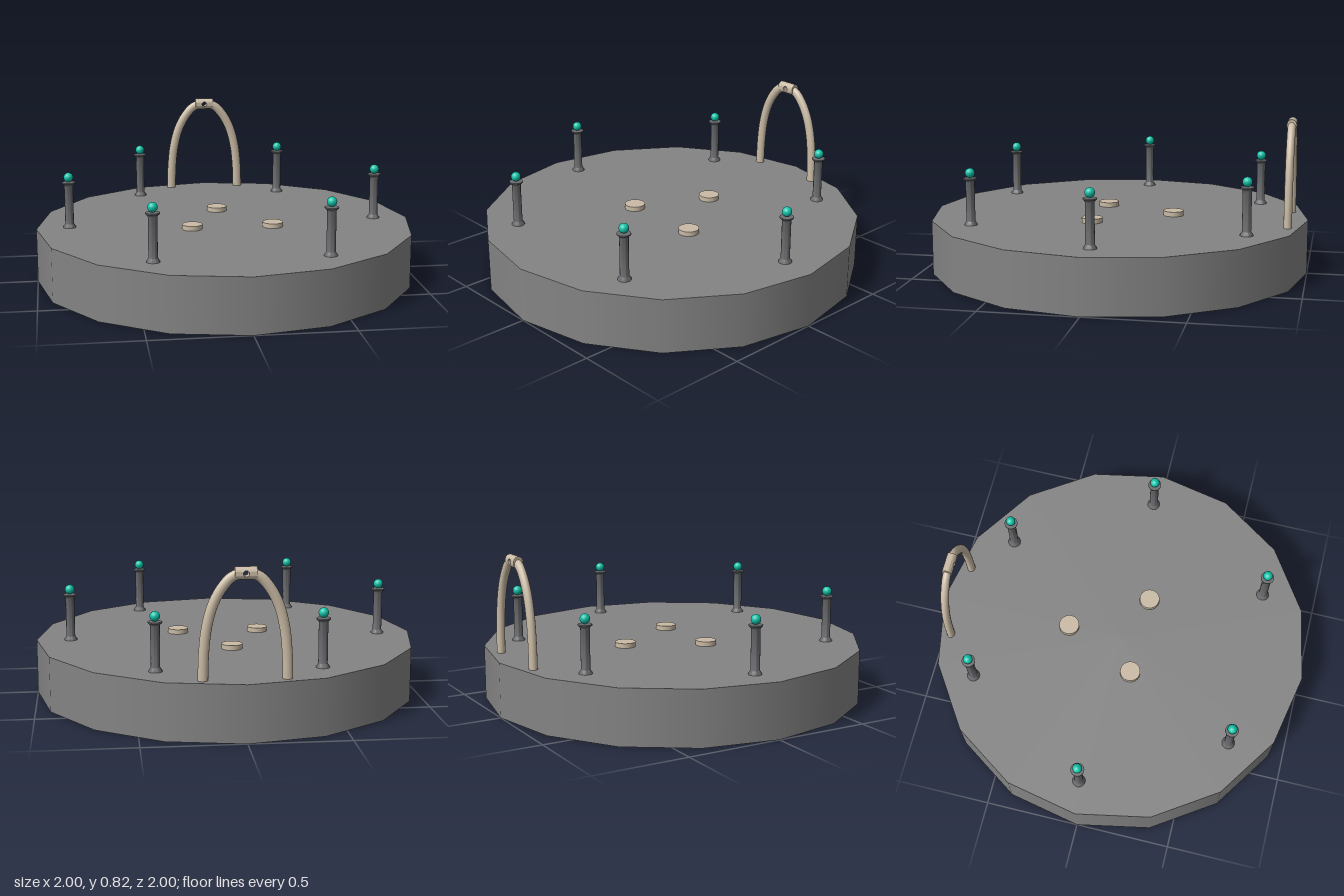
import * as THREE from 'three';
import { toCreasedNormals } from 'three/addons/utils/BufferGeometryUtils.js';

const TOP = 0.285; // top of the base

function material(color, extra = {}) {
  return new THREE.MeshStandardMaterial({ color, ...extra });
}

function part(name, geometry, mat, x = 0, y = 0, z = 0) {
  const mesh = new THREE.Mesh(geometry, mat);
  mesh.name = name;
  mesh.position.set(x, y, z);
  return mesh;
}

// Oval sleeve lying along x, pierced from front to back by a round hole
function piercedSleeve(halfLength, ry, rz, hole) {
  const nu = 48, half = 10, nv = half * 2;
  const positions = [], index = [];
  const corners = [[-1, -1], [1, -1], [1, 1], [-1, 1]];
  for (let v = 0; v < nv; v++) {
    const front = v < half;
    const t = (front ? v : nv - 1 - v) / (half - 1); // 0 outline, 1 hole
    for (let u = 0; u < nu; u++) {
      const side = Math.floor(u / 12), f = (u % 12) / 12;
      const a = corners[side], b = corners[(side + 1) % 4];
      const angle = (u / nu) * Math.PI * 2 - Math.PI * 0.75;
      const ox = (a[0] + (b[0] - a[0]) * f) * halfLength;
      const oy = (a[1] + (b[1] - a[1]) * f) * ry;
      const x = ox + (Math.cos(angle) * hole - ox) * t;
      const y = oy + (Math.sin(angle) * hole - oy) * t;
      const z = rz * Math.sqrt(Math.max(0, 1 - (y / ry) ** 2));
      positions.push(x, y, front ? z : -z);
      const p = v * nu + u, q = v * nu + (u + 1) % nu;
      const r = ((v + 1) % nv) * nu + u, s = ((v + 1) % nv) * nu + (u + 1) % nu;
      index.push(p, q, r, q, s, r);
    }
  }
  const g = new THREE.BufferGeometry();
  g.setAttribute('position', new THREE.Float32BufferAttribute(positions, 3));
  g.setIndex(index);
  return toCreasedNormals(g, 0.7);
}

export function createModel() {
  const model = new THREE.Group();
  model.name = 'platform';
  const grey = material(0x848484);
  const dark = material(0x6c6d70);
  const beige = material(0xcabba5);
  const tubeBeige = material(0xcabba5, { side: THREE.DoubleSide });
  const teal = material(0x10c4aa);

  // Sixteen-sided base
  model.add(part('base', new THREE.CylinderGeometry(1, 1, TOP, 16), grey, 0, TOP / 2, 0));

  // Low round pads
  const padGeo = new THREE.CylinderGeometry(0.054, 0.054, 0.025, 32);
  for (const [x, z] of [[-0.005, -0.29], [-0.185, 0.095], [0.245, 0.1]])
    model.add(part('pad', padGeo, beige, x, TOP + 0.0125, z));

  // Posts with flared foot and cap, each topped by a ball
  const profile = [[0, 0], [0.034, 0], [0.033, 0.006], [0.024, 0.018], [0.023, 0.022],
    [0.023, 0.225], [0.026, 0.23], [0.035, 0.238], [0.035, 0.244], [0, 0.246]]
    .map(([x, y]) => new THREE.Vector2(x, y));
  const postGeo = toCreasedNormals(new THREE.LatheGeometry(profile, 24), 0.7);
  const ballGeo = new THREE.SphereGeometry(0.025, 24, 16);
  const spots = [[-0.4, -0.72], [0.41, -0.715], [-0.825, -0.025],
    [0.82, -0.012], [-0.44, 0.69], [0.428, 0.697]];
  for (const [x, z] of spots) {
    const post = new THREE.Group();
    post.name = 'post';
    post.position.set(x, TOP, z);
    post.add(part('shaft', postGeo, dark), part('ball', ballGeo, teal, 0, 0.27, 0));
    model.add(post);
  }

  // Arch: two mirrored bent legs joined by a pierced sleeve
  const arch = new THREE.Group();
  arch.name = 'arch';
  arch.position.z = -0.905;
  for (const s of [-1, 1]) {
    const path = new THREE.CatmullRomCurve3([[0.2, 0.28], [0.195, 0.42], [0.181, 0.54],
      [0.152, 0.645], [0.112, 0.72], [0.066, 0.771], [0.025, 0.788]]
      .map(([x, y]) => new THREE.Vector3(s * x, y, 0)));
    const leg = new THREE.TubeGeometry(path, 40, 0.025, 16);
    leg.scale(1, 1, 0.85);
    arch.add(part(s > 0 ? 'leftLeg' : 'rightLeg', leg, tubeBeige));
  }
  arch.add(part('sleeve', piercedSleeve(0.052, 0.031, 0.026, 0.014), tubeBeige, 0, 0.789, 0));
  model.add(arch);

  return model;
}
